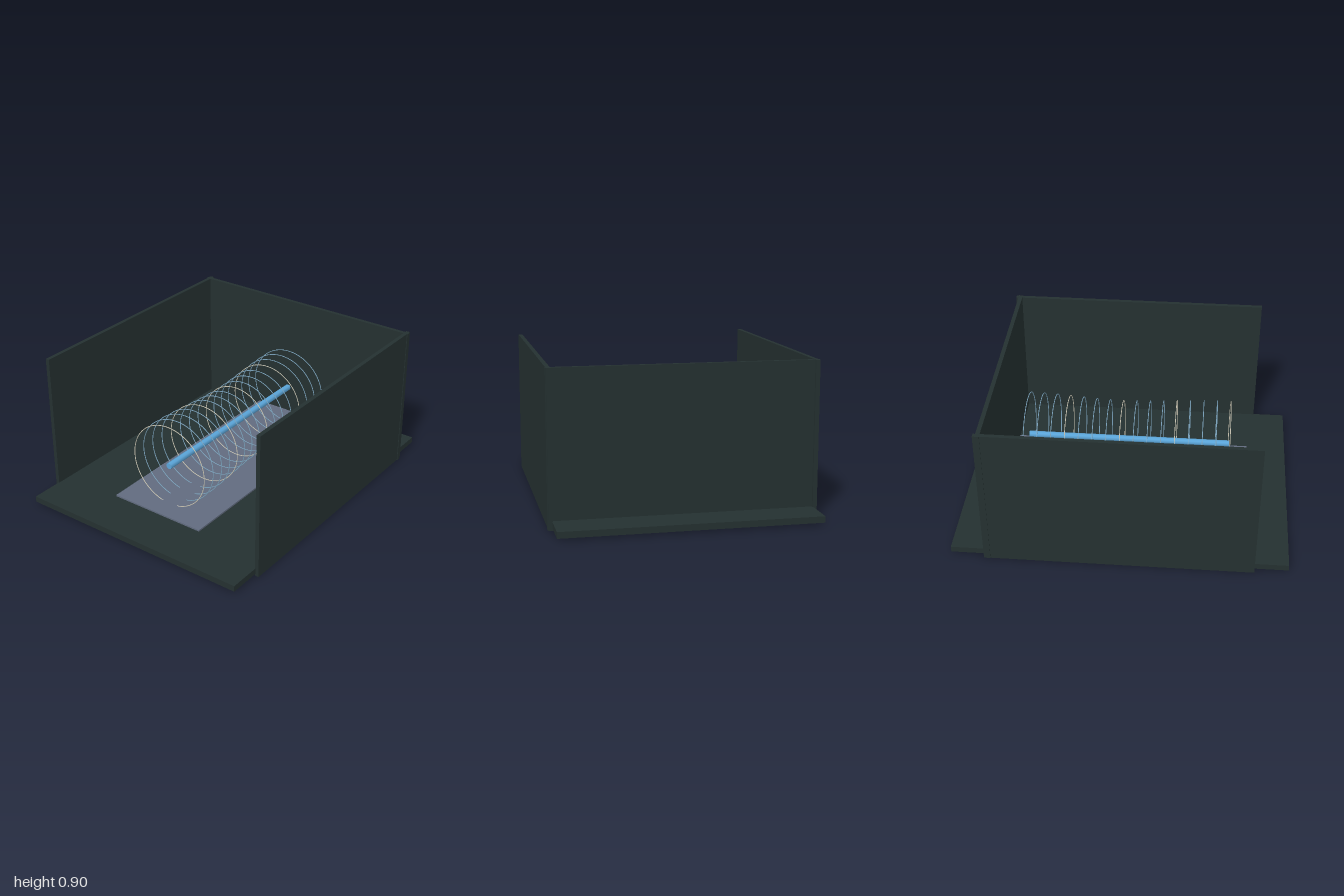
import * as THREE from 'three';

export function createModel() {
  const model = new THREE.Group();
  const panel = new THREE.MeshStandardMaterial({ name: 'dark panel', color: 0x243030 });
  const slate = new THREE.MeshStandardMaterial({ name: 'slate plate', color: 0x616b7f });
  const blue = new THREE.MeshStandardMaterial({ name: 'blue rod', color: 0x5ba6da });
  const paleBlue = new THREE.MeshStandardMaterial({ name: 'pale blue wire', color: 0x7fa9c4 });
  const cream = new THREE.MeshStandardMaterial({ name: 'cream wire', color: 0xd0cbb8 });

  function add(name, geometry, material, x, y, z) {
    const mesh = new THREE.Mesh(geometry, material);
    mesh.name = name;
    mesh.position.set(x, y, z);
    model.add(mesh);
    return mesh;
  }

  // Open-fronted enclosure
  add('floor', new THREE.BoxGeometry(1.5, 0.037, 2), panel, 0, 0.0325, 0);
  add('backWall', new THREE.BoxGeometry(1.55, 0.9, 0.025), panel, 0, 0.45, -0.773);
  for (const [name, side] of [['leftWall', 1], ['rightWall', -1]]) {
    add(name, new THREE.BoxGeometry(0.025, 0.9, 1.6), panel, side * 0.758, 0.45, 0);
  }

  // Plate under the coil
  add('basePlate', new THREE.BoxGeometry(0.63, 0.01, 1.5), slate, 0, 0.095, 0);

  // Central rod along z
  const axisY = 0.354;
  add('rod', new THREE.CylinderGeometry(0.02, 0.02, 1.25, 8).rotateX(Math.PI / 2), blue, 0, axisY, 0);

  // Row of fine wire rings, slightly waisted in the middle
  const ringCount = 16;
  for (let i = 0; i < ringCount; i++) {
    const radius = 0.25 + 0.013 * Math.cos((i / 14) * Math.PI * 2);
    const z = -0.625 + (1.25 * i) / (ringCount - 1);
    add('wireRing', new THREE.TorusGeometry(radius, 0.0025, 6, 64),
      i % 4 === 3 ? cream : paleBlue, 0, axisY, z);
  }
  return model;
}
